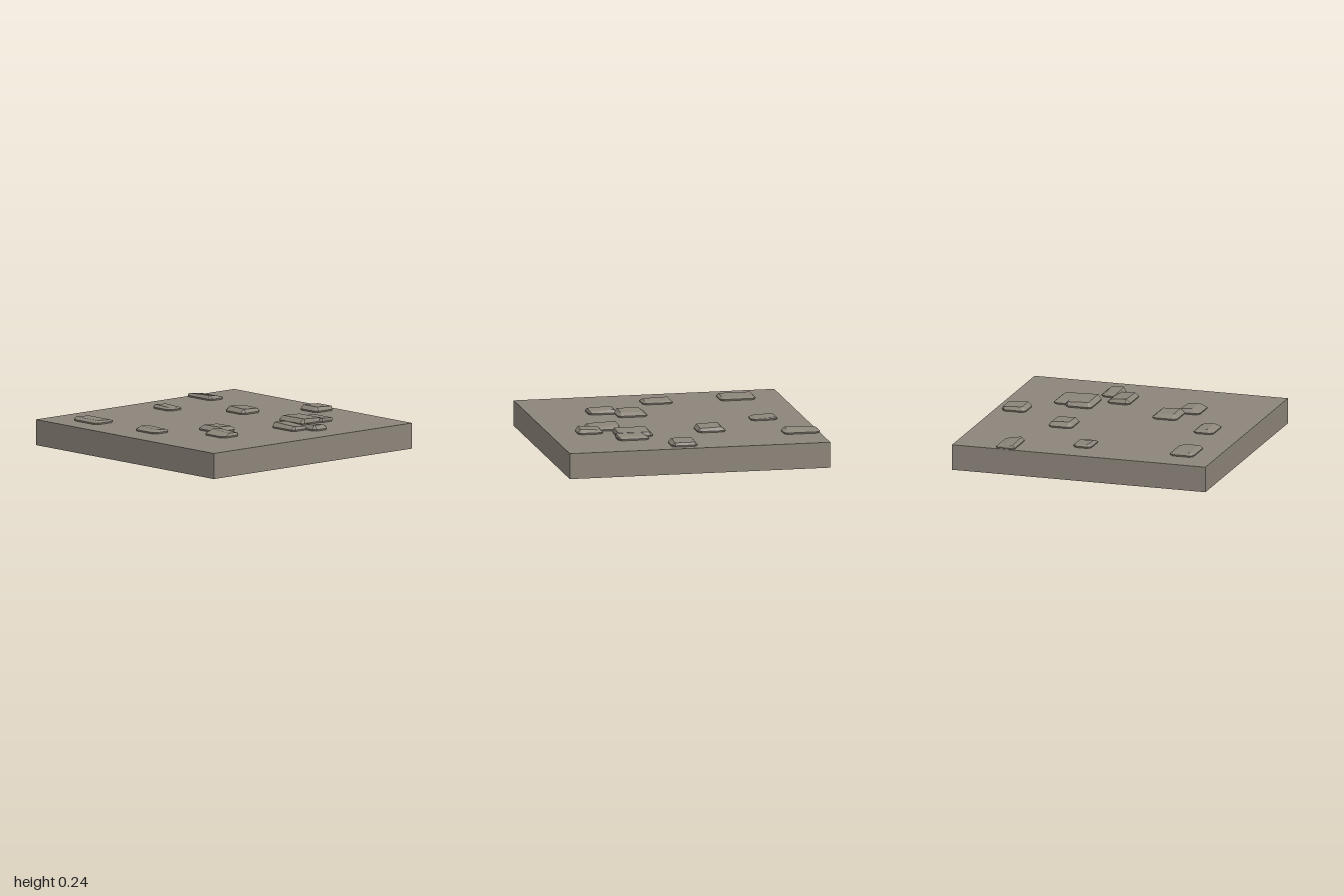
import * as THREE from 'three';

const SLAB_TOP = 0.195;

// Each stone: footprint x0, x1, z0, z1, top face x0, x1, z0, z1, then height at its right (-x) and left (+x) end
const STONES = [
  [0.00, 0.20, -0.94, -0.75, 0.02, 0.175, -0.93, -0.78, 0.235, 0.235],
  [-1.00, -0.72, -0.66, -0.51, -0.985, -0.75, -0.60, -0.53, 0.222, 0.232],
  [-0.315, -0.10, -0.47, -0.28, -0.28, -0.12, -0.45, -0.31, 0.24, 0.235],
  [0.305, 0.545, -0.63, -0.48, 0.35, 0.54, -0.61, -0.50, 0.23, 0.23],
  [0.25, 0.53, -0.52, -0.31, 0.28, 0.52, -0.51, -0.34, 0.238, 0.24],
  [0.60, 0.795, -0.35, -0.20, 0.62, 0.77, -0.32, -0.22, 0.23, 0.24],
  [0.44, 0.70, -0.25, -0.07, 0.455, 0.68, -0.22, -0.10, 0.238, 0.23],
  [-0.79, -0.585, -0.12, 0.025, -0.77, -0.62, -0.11, 0.00, 0.225, 0.218],
  [0.14, 0.37, 0.20, 0.40, 0.18, 0.345, 0.23, 0.365, 0.235, 0.238],
  [0.34, 0.565, 0.34, 0.515, 0.37, 0.555, 0.36, 0.45, 0.238, 0.23],
  [-0.785, -0.51, 0.64, 0.83, -0.77, -0.53, 0.67, 0.80, 0.225, 0.225],
  [-0.145, 0.09, 0.62, 0.78, -0.12, 0.07, 0.64, 0.73, 0.23, 0.225],
];

// Rectangle with cut corners, counter-clockwise from above
function cutRect(x0, x1, z0, z1, cut, yAt) {
  const c = cut;
  return [
    [x1, z0 + c], [x1 - c, z0], [x0 + c, z0], [x0, z0 + c],
    [x0, z1 - c], [x0 + c, z1], [x1 - c, z1], [x1, z1 - c],
  ].map(([x, z]) => [x, yAt(x, z), z]);
}

// Chipped stone: low wall, broad bevel and a slightly tilted top
function stoneGeometry([x0, x1, z0, z1, tx0, tx1, tz0, tz1, hR, hL]) {
  const tilt = (x, z) =>
    hR + (hL - hR) * (x - tx0) / (tx1 - tx0) - 0.008 * (tz1 - z) / (tz1 - tz0);
  const rings = [
    cutRect(x0 + 0.006, x1 - 0.006, z0 + 0.006, z1 - 0.006, 0.025, () => 0.19),
    cutRect(x0, x1, z0, z1, 0.025, () => 0.207),
    cutRect(tx0, tx1, tz0, tz1, 0.004, tilt),
  ];
  const p = [];
  for (let r = 0; r < 2; r++) {
    for (let i = 0; i < 8; i++) {
      const j = (i + 1) % 8;
      const [a, b, c, d] = [rings[r][i], rings[r][j], rings[r + 1][j], rings[r + 1][i]];
      p.push(...a, ...b, ...c, ...a, ...c, ...d);
    }
  }
  for (let i = 1; i < 7; i++) {
    p.push(...rings[2][0], ...rings[2][i], ...rings[2][i + 1]);
    p.push(...rings[0][0], ...rings[0][i + 1], ...rings[0][i]);
  }
  const g = new THREE.BufferGeometry();
  g.setAttribute('position', new THREE.Float32BufferAttribute(p, 3));
  g.computeVertexNormals();
  return g;
}

export function createModel() {
  const group = new THREE.Group();
  group.name = 'stoneFloorTile';
  const stone = new THREE.MeshStandardMaterial({ color: 0x8c857a });
  stone.name = 'greyStone';

  // Square base slab
  const slab = new THREE.Mesh(new THREE.BoxGeometry(2, SLAB_TOP, 2), stone);
  slab.name = 'slab';
  slab.position.y = SLAB_TOP / 2;
  group.add(slab);

  // Raised cobbles set into the slab
  STONES.forEach((s, i) => {
    const mesh = new THREE.Mesh(stoneGeometry(s), stone);
    mesh.name = `cobble${i + 1}`;
    group.add(mesh);
  });
  return group;
}
